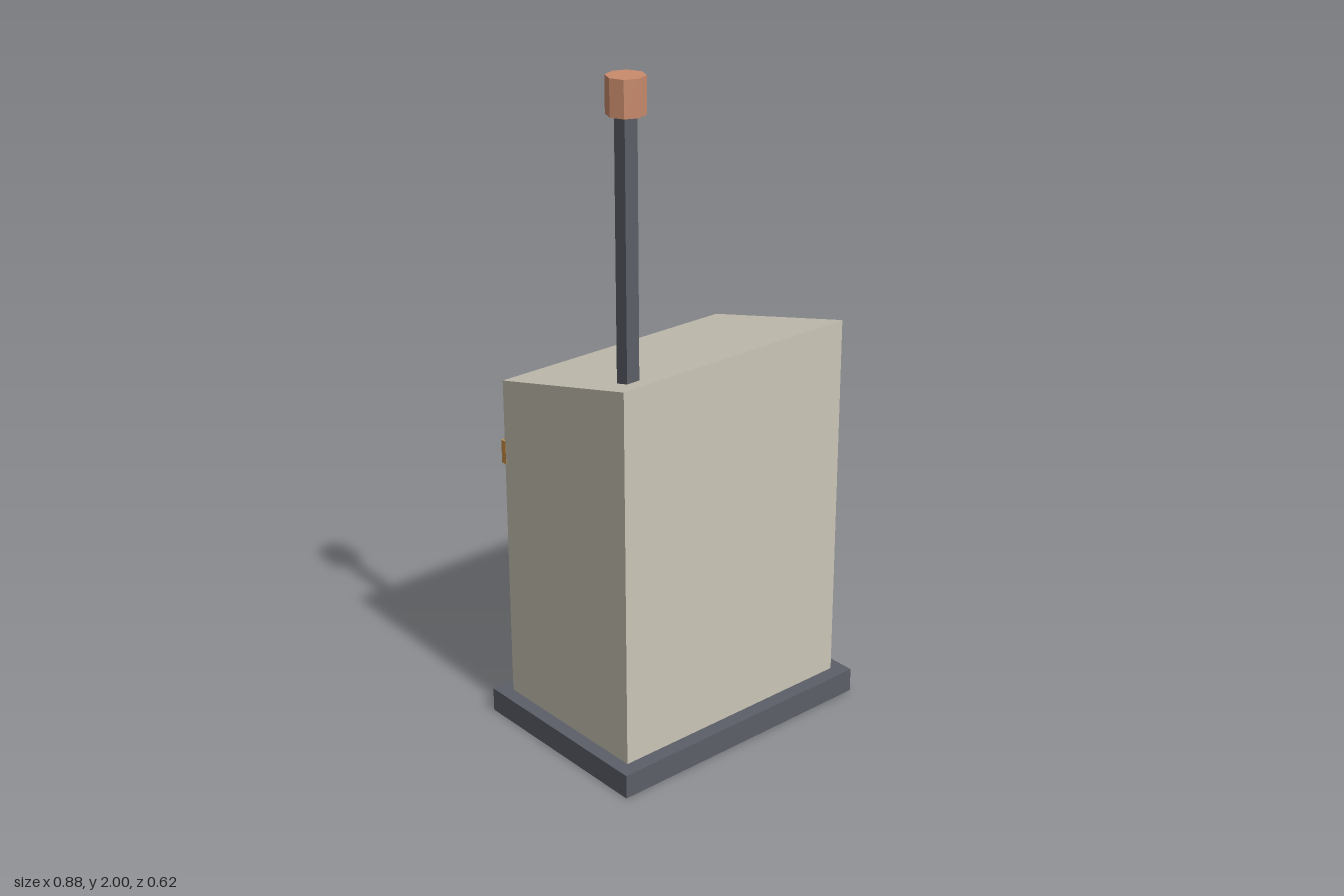
import * as THREE from 'three';

const material = (name, color) => {
  const m = new THREE.MeshStandardMaterial({ color });
  m.name = name;
  return m;
};

export function createModel() {
  const beige = material('warm grey', 0xcac5b6);
  const dark = material('dark slate', 0x5c5f68);
  const orange = material('amber', 0xc99048);
  const copper = material('copper', 0xc98b6d);
  const cyan = material('pale cyan', 0x8ad4d4);

  const model = new THREE.Group();
  model.name = 'cabinet';

  const add = (name, geometry, mat, x = 0, y = 0, z = 0) => {
    const mesh = new THREE.Mesh(geometry, mat);
    mesh.name = name;
    mesh.position.set(x, y, z);
    model.add(mesh);
    return mesh;
  };
  // Box given by its lower and upper corners
  const addBox = (name, mat, [x0, y0, z0], [x1, y1, z1]) =>
    add(name, new THREE.BoxGeometry(x1 - x0, y1 - y0, z1 - z0), mat,
      (x0 + x1) / 2, (y0 + y1) / 2, (z0 + z1) / 2);

  // Plinth
  addBox('plinth', dark, [-0.44, 0, -0.308], [0.44, 0.073, 0.308]);

  // Body: side profile with a roof sloping down to the back, extruded across x
  const profile = new THREE.Shape([
    new THREE.Vector2(-0.264, 0.02),
    new THREE.Vector2(0.264, 0.02),
    new THREE.Vector2(0.264, 1.065),
    new THREE.Vector2(-0.264, 1.197),
  ]);
  const body = new THREE.ExtrudeGeometry(profile, { depth: 0.798, bevelEnabled: false });
  body.translate(0, 0, -0.399).rotateY(Math.PI / 2);
  add('body', body, beige);

  // Fittings on the back face
  addBox('panel', dark, [-0.283, 0.18, -0.292], [0.283, 0.71, -0.26]);
  addBox('band', orange, [-0.4, 0.81, -0.279], [0.4, 0.88, -0.26]);
  addBox('lightStrip', cyan, [-0.309, 0.998, -0.272], [0.309, 1.01, -0.26]);

  // Square mast with an eight-sided cap
  addBox('mast', dark, [-0.332, 1.15, 0.155], [-0.29, 1.92, 0.197]);
  const cap = new THREE.CylinderGeometry(0.053, 0.053, 0.1, 8).toNonIndexed();
  cap.computeVertexNormals();
  add('mastCap', cap, copper, -0.31, 1.95, 0.176);

  return model;
}
